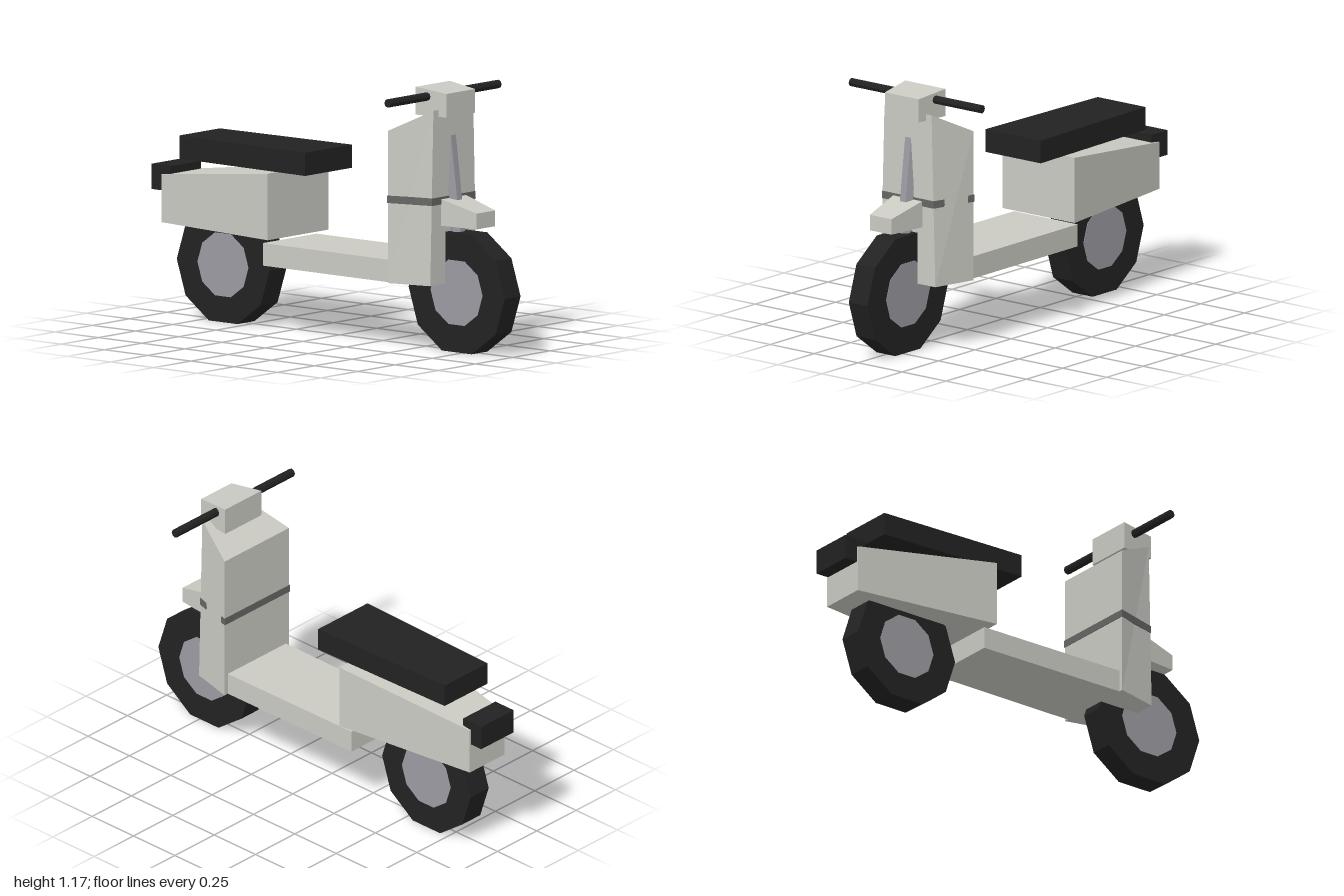
import * as THREE from 'three';

const mat = (name, color) => {
  const m = new THREE.MeshStandardMaterial({ color });
  m.name = name;
  return m;
};

export function createModel() {
  const group = new THREE.Group();
  const paint = mat('pale body paint', 0xcacac3);
  const black = mat('black rubber', 0x222222);
  const metal = mat('grey metal', 0x9a9aa1);
  const band = mat('dark grey stripe', 0x666663);

  // Add a mesh with flat-shaded facets
  const add = (name, geometry, material) => {
    const geo = geometry.index ? geometry.toNonIndexed() : geometry;
    geo.computeVertexNormals();
    const mesh = new THREE.Mesh(geo, material);
    mesh.name = name;
    group.add(mesh);
    return mesh;
  };

  // Tapered block between two end sections: { z, y0, y1, w0, w1 } (half widths at bottom and top)
  const block = (front, back) => {
    const geo = new THREE.BoxGeometry(2, 2, 2);
    const p = geo.attributes.position;
    for (let i = 0; i < p.count; i++) {
      const s = p.getZ(i) > 0 ? front : back;
      const top = p.getY(i) > 0;
      const w = top ? s.w1 : s.w0;
      p.setXYZ(i, Math.sign(p.getX(i)) * w, top ? s.y1 : s.y0, s.z);
    }
    return geo;
  };
  const end = (z, y0, y1, w0, w1 = w0) => ({ z, y0, y1, w0, w1 });

  // Cylinder lying across the model
  const axle = (radius, length, sides) =>
    new THREE.CylinderGeometry(radius, radius, length, sides).rotateZ(Math.PI / 2);

  // Wheels: ten-sided tyre with a thin disc on each side
  const wheel = (name, z, y, radius, hub, halfWidth) => {
    add(name + 'Tyre', axle(radius, halfWidth * 2, 10), black).position.set(0, y, z);
    add(name + 'Hub', axle(hub, halfWidth * 2 + 0.004, 10), metal).position.set(0, y, z);
  };
  wheel('frontWheel', 0.722, 0.266, 0.278, 0.15, 0.053);
  wheel('rearWheel', -0.625, 0.256, 0.268, 0.147, 0.057);

  // Front shield and the stripe wrapped around it
  add('frontShield', block(end(0.657, 0.3, 1.075, 0.155, 0.134), end(0.455, 0.3, 0.975, 0.205)), paint);
  add('shieldStripe', block(end(0.66, 0.655, 0.688, 0.147, 0.146), end(0.452, 0.655, 0.688, 0.207)), band);

  // Footboard
  add('footboard', block(end(0.5, 0.3, 0.4, 0.185), end(-0.29, 0.3, 0.4, 0.18)), paint);

  // Rear body, seat and tail lamp
  add('rearBody', block(end(-0.24, 0.42, 0.715, 0.205), end(-0.937, 0.42, 0.632, 0.11)), paint);
  add('seat', block(end(-0.065, 0.717, 0.82, 0.157), end(-0.81, 0.717, 0.82, 0.136)), black);
  add('tailLamp', block(end(-1, 0.56, 0.672, 0.103), end(-0.89, 0.56, 0.672, 0.103)).scale(1, 1, 1), black)
    .geometry.copy(block(end(-0.89, 0.56, 0.672, 0.103), end(-1, 0.56, 0.672, 0.103)));

  // Front mudguard
  add('frontMudguard', block(end(0.845, 0.56, 0.63, 0.062), end(0.64, 0.56, 0.683, 0.084)), paint);

  // Slanted six-sided fork from the front axle up into the shield
  const fork = add('frontFork', new THREE.CylinderGeometry(0.033, 0.033, 0.72, 6).rotateY(Math.PI / 6), metal);
  fork.position.set(0, 0.627, 0.67);
  fork.rotation.x = -Math.atan(0.128);

  // Handlebar and its housing
  add('handlebarHousing', block(end(0.7, 1.045, 1.15, 0.096), end(0.537, 1.045, 1.168, 0.115)), paint);
  add('handlebar', axle(0.019, 0.744, 8), black).position.set(0, 1.13, 0.597);

  return group;
}
